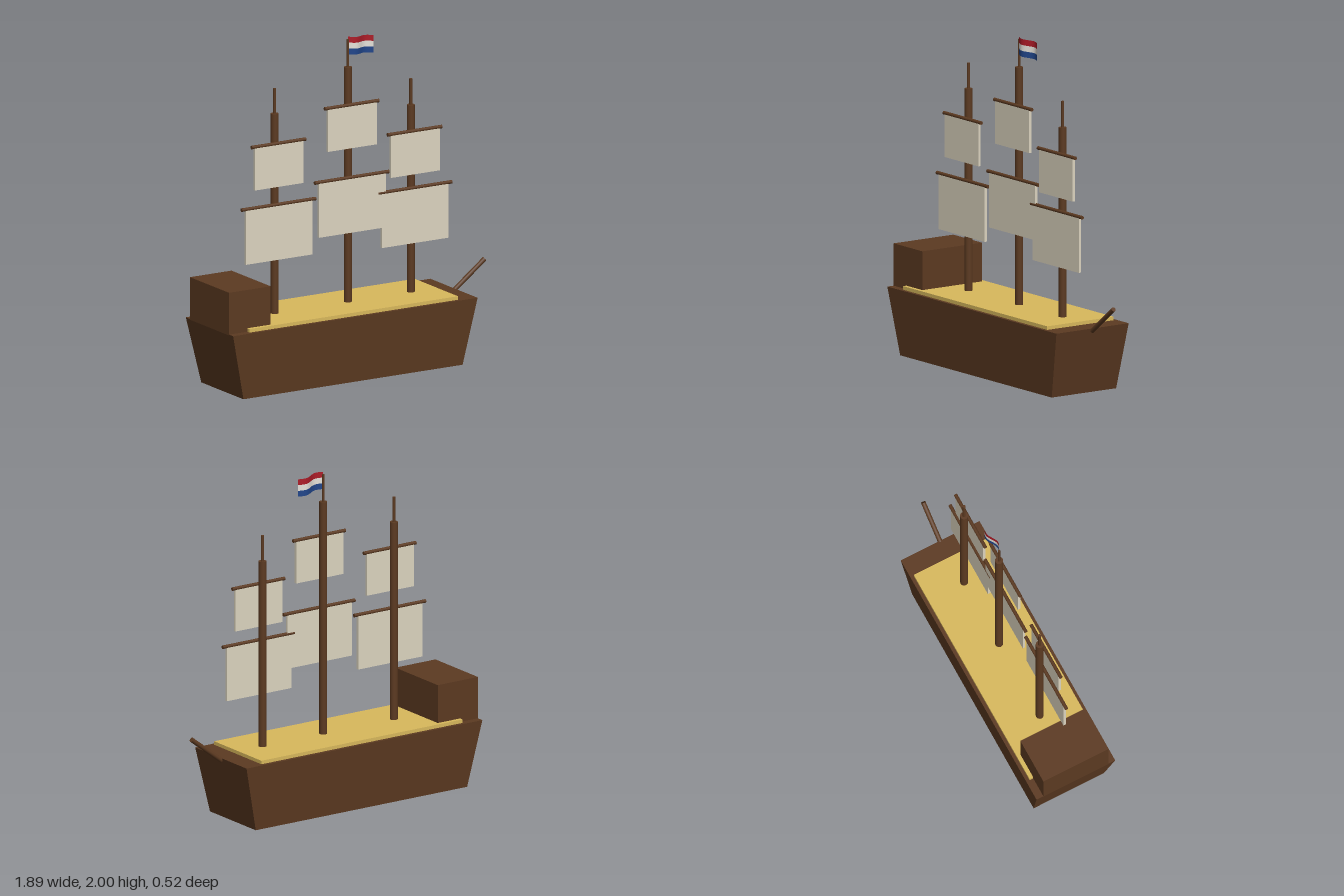
import * as THREE from 'three';

const paint = (name, color, side = THREE.FrontSide) => {
  const m = new THREE.MeshStandardMaterial({ color, side });
  m.name = name;
  return m;
};

export function createModel() {
  const ship = new THREE.Group();
  ship.name = 'sailingShip';
  const wood = paint('dark wood', 0x5c3a21);
  const planks = paint('deck planks', 0xd9b95c);
  const canvas = paint('sail canvas', 0xddd5c0);
  const red = paint('flag red', 0xae1c28, THREE.DoubleSide);
  const white = paint('flag white', 0xe8e4dc, THREE.DoubleSide);
  const blue = paint('flag blue', 0x21468b, THREE.DoubleSide);

  const add = (name, geometry, material, parent = ship) => {
    const mesh = new THREE.Mesh(geometry, material);
    mesh.name = name;
    parent.add(mesh);
    return mesh;
  };
  // Box given by its lower and upper corners
  const box = (name, a, b, material, parent) => {
    const g = new THREE.BoxGeometry(b[0] - a[0], b[1] - a[1], b[2] - a[2]);
    g.translate((a[0] + b[0]) / 2, (a[1] + b[1]) / 2, (a[2] + b[2]) / 2);
    return add(name, g, material, parent);
  };
  // Round spar between two points
  const spar = (name, a, b, radius, parent) => {
    const from = new THREE.Vector3(...a), to = new THREE.Vector3(...b);
    const dir = to.clone().sub(from);
    const mesh = add(name, new THREE.CylinderGeometry(radius, radius, dir.length(), 16), wood, parent);
    mesh.position.copy(from).add(to).multiplyScalar(0.5);
    mesh.quaternion.setFromUnitVectors(new THREE.Vector3(0, 1, 0), dir.normalize());
    return mesh;
  };

  // Hull: a box that narrows towards the keel
  const hull = new THREE.BoxGeometry(1.67, 0.395, 0.516);
  hull.translate(-0.11, 0.1975, 0);
  const p = hull.attributes.position;
  for (let i = 0; i < p.count; i++) {
    if (p.getY(i) < 0.1) {
      p.setX(i, p.getX(i) < 0 ? -0.857 : 0.64);
      p.setZ(i, Math.sign(p.getZ(i)) * 0.23);
    }
  }
  hull.computeVertexNormals();
  add('hull', hull, wood);
  box('deck', [-0.82, 0.38, -0.237], [0.605, 0.416, 0.237], planks);
  box('sternCabin', [-0.945, 0.39, -0.213], [-0.661, 0.645, 0.213], wood);
  spar('bowsprit', [0.722, 0.381, 0], [0.933, 0.542, 0], 0.014);

  // Masts, each with two yards and two sails: [x, mast top, pole top, pole radius, lower yard y, upper yard y]
  const masts = [
    ['mizzen', -0.5, 1.61, 1.76, 0.009, 1.075, 1.44],
    ['main', 0, 1.82, 1.985, 0.007, 1.168, 1.602],
    ['fore', 0.43, 1.535, 1.69, 0.009, 1.047, 1.387],
  ];
  const z = 0.042;
  for (const [name, x, top, poleTop, poleRadius, lower, upper] of masts) {
    const group = new THREE.Group();
    group.name = name + 'Mast';
    ship.add(group);
    spar('mast', [x, 0.4, 0], [x, top, 0], 0.0235, group);
    spar('topPole', [x, top - 0.01, 0], [x, poleTop, 0], poleRadius, group);
    for (const [level, y, yardHalf, sailHalf, drop] of [
      ['lower', lower, 0.253, 0.228, 0.329],
      ['upper', upper, 0.185, 0.167, 0.258],
    ]) {
      spar(level + 'Yard', [x - yardHalf, y, z], [x + yardHalf, y, z], 0.0105, group);
      box(level + 'Sail', [x - sailHalf, y - drop, z - 0.008], [x + sailHalf, y, z + 0.008], canvas, group);
    }
  }

  // Waving flag of three stripes
  const flag = new THREE.Group();
  flag.name = 'flag';
  ship.add(flag);
  const length = 0.177, stripe = 0.105 / 3;
  [['redStripe', red], ['whiteStripe', white], ['blueStripe', blue]].forEach(([name, material], row) => {
    const g = new THREE.PlaneGeometry(length, stripe, 16, 1);
    g.translate(length / 2, 2 - stripe * (row + 0.5), 0);
    const v = g.attributes.position;
    for (let i = 0; i < v.count; i++) {
      const t = v.getX(i) / length;
      v.setY(i, v.getY(i) - 0.015 * t);
      v.setZ(i, 0.018 * Math.sin(t * Math.PI * 2));
    }
    g.computeVertexNormals();
    add(name, g, material, flag);
  });

  return ship;
}
